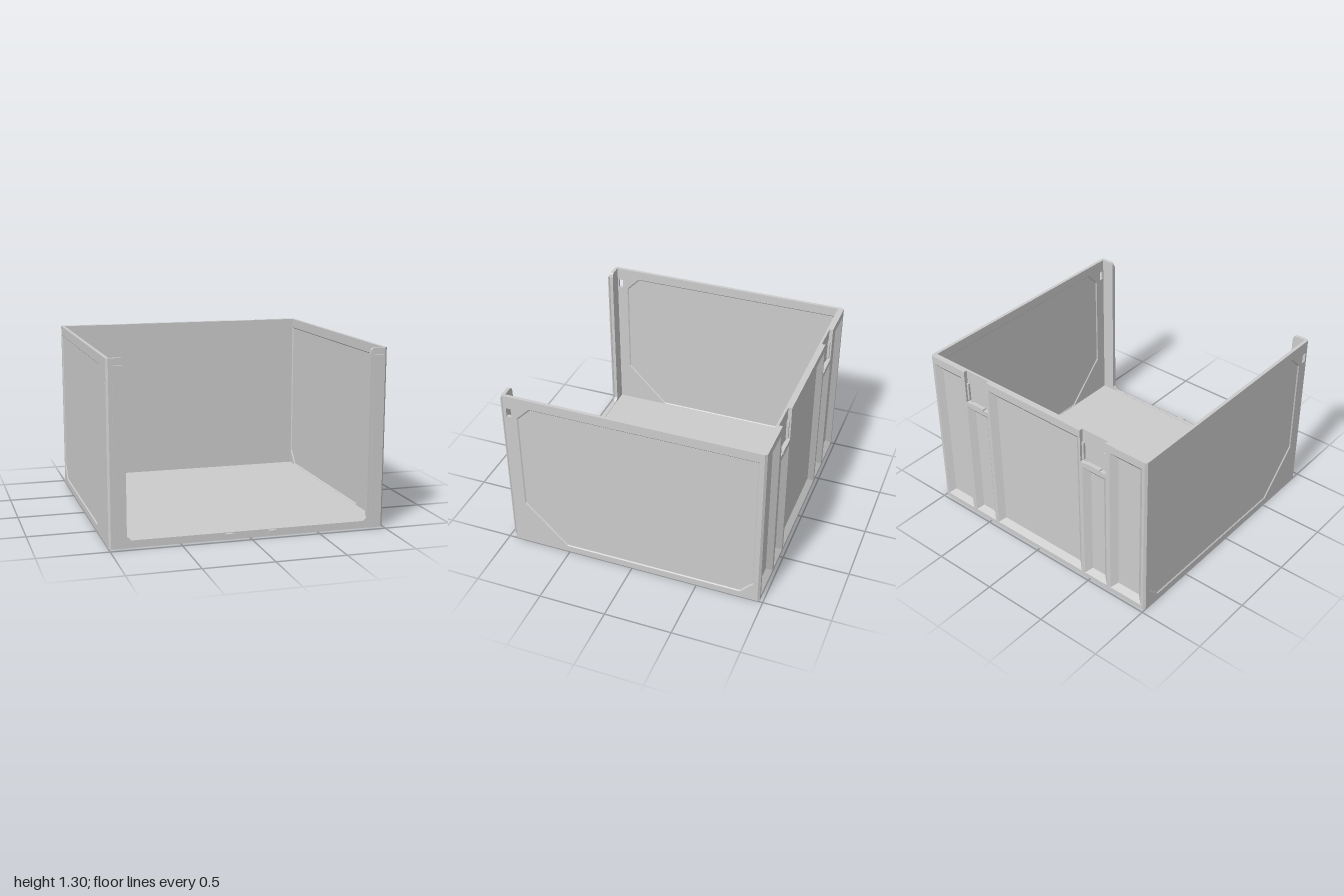
import * as THREE from 'three';
import { mergeGeometries } from 'three/addons/utils/BufferGeometryUtils.js';

const H = 1.3, BACK = -0.975, FRONT = 0.95, T = 0.025;
const material = new THREE.MeshStandardMaterial({ color: 0xcccccc, flatShading: true, side: THREE.DoubleSide });

const toShape = (pts, holes = []) => {
  const s = new THREE.Shape(pts.map(p => new THREE.Vector2(...p)));
  holes.forEach(h => s.holes.push(new THREE.Path(h.map(p => new THREE.Vector2(...p)))));
  return s;
};
const extrude = (pts, depth, holes) =>
  new THREE.ExtrudeGeometry(toShape(pts, holes), { depth, bevelEnabled: false });
const rect = (x0, x1, y0, y1) => [[x0, y0], [x1, y0], [x1, y1], [x0, y1]];

// Vertical prism from an outline in x, z
const prism = (pts, y0, y1) => extrude(pts.map(([x, z]) => [x, -z]), y1 - y0)
  .rotateX(-Math.PI / 2).translate(0, y0, 0);

// Shrink an outline by a margin about the middle of its bounds
function inset(pts, m) {
  const b = new THREE.Box2().setFromPoints(pts.map(p => new THREE.Vector2(...p)));
  const c = b.getCenter(new THREE.Vector2()), s = b.getSize(new THREE.Vector2());
  return pts.map(([x, y]) => [c.x + (x - c.x) * (1 - 2 * m / s.x), c.y + (y - c.y) * (1 - 2 * m / s.y)]);
}

// Recess with sloping sides: loop at z0 narrows to a flat bottom at z1
function pocket(pts, margin, z0, z1) {
  const inner = inset(pts, margin), pos = [], n = pts.length;
  for (let i = 0; i < n; i++) {
    const j = (i + 1) % n;
    const a = [...pts[i], z0], b = [...pts[j], z0], c = [...inner[j], z1], d = [...inner[i], z1];
    const quad = z1 > z0 ? [a, c, b, a, d, c] : [a, b, c, a, c, d];
    pos.push(...quad.flat());
  }
  const sides = new THREE.BufferGeometry();
  sides.setAttribute('position', new THREE.Float32BufferAttribute(pos, 3));
  sides.computeVertexNormals();
  const bottom = new THREE.ShapeGeometry(toShape(inner)).toNonIndexed().translate(0, 0, z1);
  if (z1 > z0) { // bottom faces -z
    const p = bottom.attributes.position;
    for (let i = 0; i < p.count; i += 3) {
      const v = [p.getX(i), p.getY(i)];
      p.setXY(i, p.getX(i + 1), p.getY(i + 1));
      p.setXY(i + 1, ...v);
    }
    bottom.computeVertexNormals();
  }
  bottom.deleteAttribute('uv');
  return mergeGeometries([sides, bottom]);
}

export function createModel() {
  const model = new THREE.Group();
  const add = (name, geometry) => {
    const mesh = new THREE.Mesh(geometry, material);
    mesh.name = name;
    model.add(mesh);
    return mesh;
  };
  const box = (name, x0, x1, y0, y1, z0, z1) =>
    add(name, new THREE.BoxGeometry(x1 - x0, y1 - y0, z1 - z0)
      .translate((x0 + x1) / 2, (y0 + y1) / 2, (z0 + z1) / 2));

  // Floor
  box('floor', -0.985, 0.985, 0, 0.048, -0.95, 0.93);

  // Side walls: framed panel recessed on both faces, with a small window
  const panel = [[0.52, 0.05], [0.84, 0.37], [0.84, 1.13], [0.74, 1.23], [-0.925, 1.23], [-0.925, 0.15], [-0.83, 0.05]];
  const windowHole = rect(0.88, 0.917, 1.13, 1.2);
  for (const [side, x] of [['left', 1], ['right', -1 + T]]) {
    const place = g => g.rotateY(-Math.PI / 2).translate(x, 0, 0);
    add(side + 'Wall', place(extrude(rect(-0.93, 0.925, 0, H), T, [panel, windowHole])));
    add(side + 'WallPanelA', place(pocket(panel, 0.008, 0, 0.007)));
    add(side + 'WallPanelB', place(pocket(panel, 0.008, T, T - 0.007)));
  }

  // Chamfered vertical corners
  for (const s of [-1, 1]) {
    const corner = (zIn, zOut) => {
      const d = Math.sign(zOut);
      return [[0.975, zIn], [1, zIn], [1, zOut - d * 0.015], [0.985, zOut], [0.975, zOut]].map(([x, z]) => [s * x, z]);
    };
    add('backCorner', prism(corner(-0.93, BACK), 0, H));
    add('frontCorner', prism(corner(0.925, FRONT), 0, H));
  }

  // Front frame: two posts joined by a sill, with angled inner corners
  const half = [[0.975, 0], [0.975, H], [0.895, H], [0.88, 1.285], [0.875, 1.26], [0.875, 0.08], [0.848, 0.052]];
  const mirrored = half.map(([x, y]) => [-x, y]).reverse();
  add('frontFrame', extrude([...half, ...mirrored], T).translate(0, 0, 0.925));

  // Dovetail rails on the posts and dovetail pegs on the sill
  const dovetail = x => [[x - 0.02, FRONT - 0.002], [x + 0.02, FRONT - 0.002], [x + 0.02, 0.955],
    [x + 0.035, 0.969], [x + 0.035, 0.976], [x - 0.035, 0.976], [x - 0.035, 0.969], [x - 0.02, 0.955]];
  for (const s of [-1, 1]) {
    add('rail', prism(dovetail(s * 0.927), 0.008, 1.255));
    add('peg', prism(dovetail(s * 0.155), 0.008, 0.048));
  }

  // Back wall: ribbed plate with sloped pockets and two latch slots
  const outline = [[-0.975, 0], [0.975, 0], [0.975, H], [0.655, H], [0.655, 1.04], [0.435, 1.04], [0.435, H],
    [-0.435, H], [-0.435, 1.04], [-0.655, 1.04], [-0.655, H], [-0.975, H]];
  const pockets = [rect(-0.42, 0.42, 0.03, 1.24)];
  for (const s of [-1, 1]) {
    const span = (a, b) => (s > 0 ? [a, b] : [-b, -a]);
    pockets.push(rect(...span(0.69, 0.965), 0.03, 1.24), rect(...span(0.45, 0.655), 0.03, 1.0));
  }
  add('backPlate', extrude(outline, 0.039, pockets).translate(0, 0, BACK));
  pockets.forEach(p => add('backPocket', pocket(p, 0.045, BACK, BACK + 0.038)));
  box('backInnerSkin', -0.975, 0.975, 0, H, BACK + 0.039, -0.93);

  // Latch slots: shallow bottom, a ledge and a centre tab
  for (const s of [-1, 1]) {
    const x = s * 0.545;
    box('slotBottom', x - 0.11, x + 0.11, 1.04, H, -0.948, -0.936);
    box('slotLedge', x - 0.06, x + 0.06, 1.03, 1.05, -0.978, -0.945);
    for (const e of [-1, 1]) box('slotGuide', x + e * 0.095 - 0.008, x + e * 0.095 + 0.008, 1.06, 1.2, -0.965, -0.945);
  }
  return model;
}
